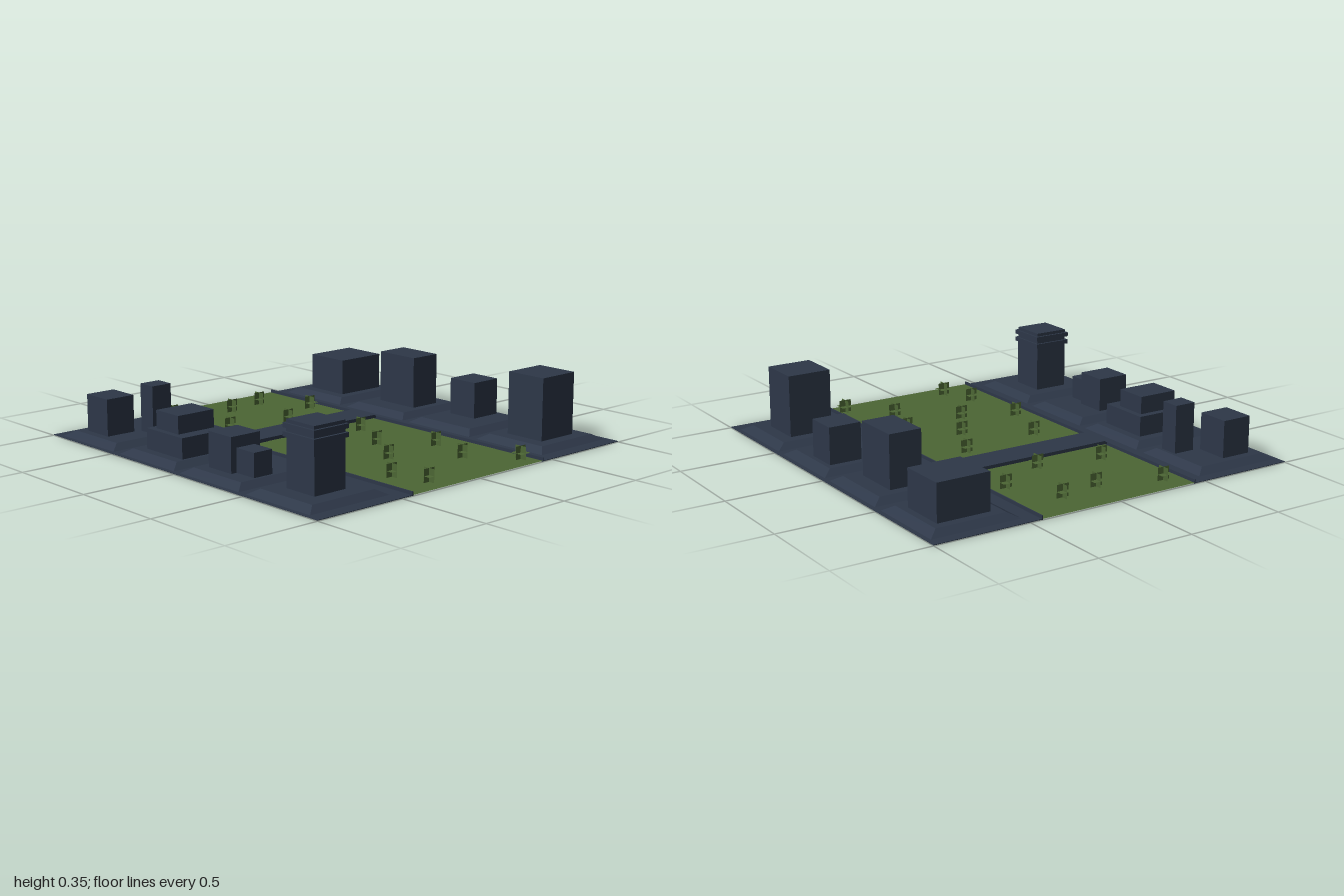
import * as THREE from 'three';

export function createModel() {
  const model = new THREE.Group();
  const make = (name, color, side = THREE.FrontSide) => {
    const m = new THREE.MeshStandardMaterial({ color, side });
    m.name = name;
    return m;
  };
  const slate = make('slate', 0x2d3748);
  const green = make('mossGreen', 0x4c6634, THREE.DoubleSide);
  const GROUND = 0.005, PAD_TOP = 0.032;

  const add = (name, geometry, material, parent = model) => {
    const mesh = new THREE.Mesh(geometry, material);
    mesh.name = name;
    parent.add(mesh);
    return mesh;
  };

  // Box given by its extents; taper pulls the top corners inward in x and z
  function block(name, x0, x1, y0, y1, z0, z1, taperX = 0, taperZ = 0, parent = model) {
    const g = new THREE.BoxGeometry(x1 - x0, y1 - y0, z1 - z0);
    const p = g.attributes.position;
    for (let i = 0; i < p.count; i++) {
      if (p.getY(i) < 0) continue;
      p.setX(i, p.getX(i) - Math.sign(p.getX(i)) * taperX);
      p.setZ(i, p.getZ(i) - Math.sign(p.getZ(i)) * taperZ);
    }
    g.computeVertexNormals();
    g.translate((x0 + x1) / 2, (y0 + y1) / 2, (z0 + z1) / 2);
    return add(name, g, slate, parent);
  }

  // Green park strip
  const park = add('parkGround', new THREE.PlaneGeometry(0.872, 2).rotateX(-Math.PI / 2), green);
  park.position.y = GROUND;

  // Paved side strips, low kerbs and a row of raised plots on each side
  for (const s of [-1, 1]) {
    const inner = 0.436 * s, outer = s;
    block('pavement', Math.min(inner, outer), Math.max(inner, outer), 0.002, GROUND, -1, 1);
    block('kerb', inner - 0.003, inner + 0.003, 0, 0.021, -1, 1);
    for (const z of [-0.727, -0.244, 0.232, 0.712]) {
      const x = 0.744 * s;
      block('plot', x - 0.236, x + 0.236, GROUND - 0.001, PAD_TOP, z - 0.217, z + 0.217, 0.052, 0.045);
    }
  }

  // Bridge across the park on five piers
  const bridge = new THREE.Group();
  bridge.name = 'bridge';
  model.add(bridge);
  block('bridgeDeck', -0.445, 0.445, 0.012, 0.029, -0.318, -0.147, 0.025, 0, bridge);
  for (let i = -2; i <= 2; i++) {
    const x = i * 0.16;
    block('bridgePier', x - 0.036, x + 0.036, 0, 0.014, -0.3, -0.165, 0, 0, bridge);
  }

  // Buildings: x0, x1, y0, y1, z0, z1
  const buildings = [
    [-0.887, -0.727, 0.03, 0.22, -0.858, -0.687],
    [-0.69, -0.577, 0.03, 0.275, -0.676, -0.577],
    [-0.882, -0.604, 0.03, 0.135, -0.366, -0.088],
    [-0.85, -0.636, 0.135, 0.225, -0.33, -0.158],
    [-0.872, -0.7, 0.03, 0.205, 0.1, 0.265],
    [-0.84, -0.733, 0.03, 0.15, 0.265, 0.39],
    [-0.838, -0.655, 0.03, 0.348, 0.612, 0.797],
    [0.615, 0.893, 0.03, 0.22, -0.853, -0.607],
    [0.674, 0.845, 0.03, 0.3, -0.366, -0.115],
    [0.733, 0.904, 0.03, 0.22, 0.1, 0.27],
    [0.63, 0.86, 0.03, 0.348, 0.597, 0.82],
  ];
  for (const b of buildings) block('building', ...b);

  // Projecting ledges near the top of the front tower
  for (const y of [0.27, 0.31]) block('towerLedge', -0.85, -0.645, y, y + 0.022, 0.6, 0.81);

  // Shrubs made of three crossed square leaves
  const shrubs = [
    [-0.337, -0.885], [-0.02, -0.783], [0.198, -0.82], [0.342, -0.57],
    [-0.283, -0.473], [0.053, -0.41], [0.208, -0.024], [-0.235, 0.035],
    [0.07, 0.238], [-0.342, 0.36], [-0.075, 0.473], [0.273, 0.447],
    [-0.294, 0.72], [0.198, 0.698], [-0.23, 0.896], [0.38, 0.906],
  ];
  const leaf = new THREE.PlaneGeometry(0.067, 0.067);
  const leaves = [leaf, leaf.clone().rotateY(Math.PI / 2), leaf.clone().rotateX(-Math.PI / 2)];
  for (const [x, z] of shrubs) {
    const shrub = new THREE.Group();
    shrub.name = 'shrub';
    shrub.position.set(x, 0.037, z);
    for (const g of leaves) add('shrubLeaf', g, green, shrub);
    model.add(shrub);
  }

  return model;
}
